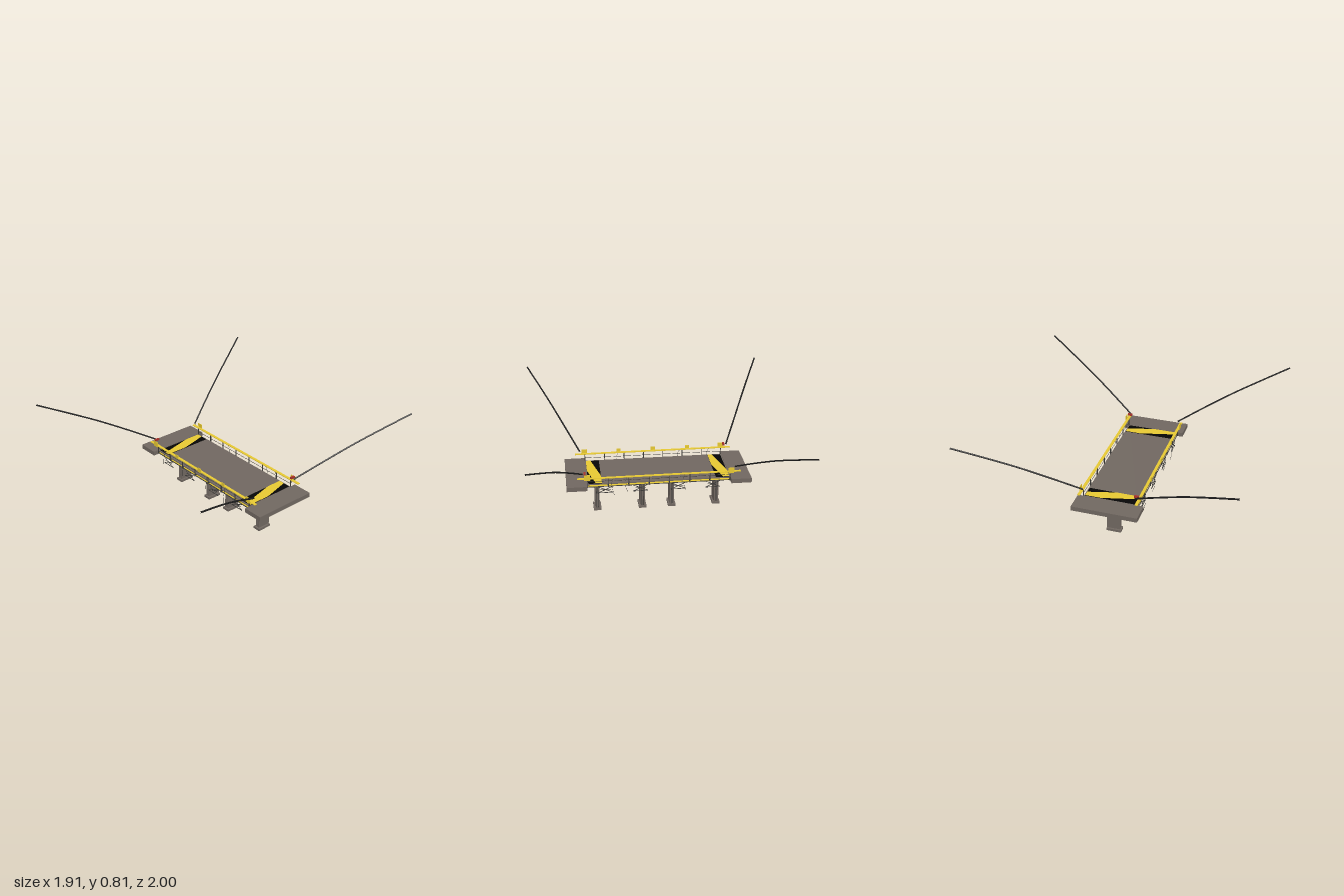
import * as THREE from 'three';

const mat = (name, color) => {
  const m = new THREE.MeshStandardMaterial({ color });
  m.name = name;
  return m;
};

export function createModel() {
  const model = new THREE.Group();
  model.name = 'footbridge';
  const concrete = mat('concrete', 0x706760);
  const steel = mat('dark steel', 0x3a3936);
  const yellow = mat('safety yellow', 0xe6c832);
  const black = mat('black', 0x060606);
  const rubber = mat('cable grey', 0x1e1e1e);
  const red = mat('red', 0xa8322a);

  const add = (name, geo, material, parent = model) => {
    const mesh = new THREE.Mesh(geo, material);
    mesh.name = name;
    parent.add(mesh);
    return mesh;
  };
  const box = (name, m, w, h, d, x, y, z, parent) => {
    const mesh = add(name, new THREE.BoxGeometry(w, h, d), m, parent);
    mesh.position.set(x, y, z);
    return mesh;
  };
  // Straight round bar between two points
  const bar = (name, m, a, b, r, parent) => {
    const p = new THREE.Vector3(...a), q = new THREE.Vector3(...b);
    const dir = q.clone().sub(p);
    const mesh = add(name, new THREE.CylinderGeometry(r, r, dir.length(), 6), m, parent);
    mesh.position.copy(p).add(q).multiplyScalar(0.5);
    mesh.quaternion.setFromUnitVectors(new THREE.Vector3(0, 1, 0), dir.normalize());
    return mesh;
  };
  const wire = (name, m, points, r) => {
    const curve = new THREE.CatmullRomCurve3(points.map(p => new THREE.Vector3(...p)));
    return add(name, new THREE.TubeGeometry(curve, 20, r, 6), m);
  };

  // Deck and end slabs
  box('deck', concrete, 1.08, 0.007, 0.405, 0, 0.2995, 0);
  for (const s of [-1, 1]) {
    box('endSlab', concrete, 0.153, 0.034, 0.492, s * 0.61, 0.288, 0);
    bar('edgePipe', steel, [-0.535, 0.281, s * 0.203], [0.535, 0.281, s * 0.203], 0.003);
  }

  // Flat beams and joists under the deck
  for (const z of [-0.184, -0.07, 0.07, 0.184])
    box('stringer', Math.abs(z) > 0.1 ? yellow : steel, 1.07, 0.005, 0.026, 0, 0.281, z);
  for (let i = 0; i < 8; i++)
    box('joist', steel, 0.008, 0.012, 0.4, -0.53 + i * 1.06 / 7, 0.29, 0);

  // Hazard panels at each end: a black plate under a diagonal yellow band
  for (const x of [-0.525, 0.425]) {
    const panel = new THREE.Group();
    panel.name = 'hazardPanel';
    panel.position.set(x, 0.303, 0);
    model.add(panel);
    box('hazardBase', black, 0.1, 0.002, 0.386, 0.05, 0.001, -0.002, panel);
    const band = new THREE.Shape([
      [0, 0.195], [0.045, 0.195], [0.1, -0.015], [0.1, -0.191], [0.065, -0.191], [0, 0.075],
    ].map(p => new THREE.Vector2(...p)));
    const mesh = add('hazardBand', new THREE.ShapeGeometry(band), yellow, panel);
    mesh.rotation.x = -Math.PI / 2;
    mesh.position.y = 0.004;
  }

  // Piers: two side plates, recessed web with a rib, and a foot
  for (const x of [-0.458, -0.115, 0.11, 0.455]) {
    const pier = new THREE.Group();
    pier.name = 'pier';
    pier.position.x = x;
    model.add(pier);
    for (const s of [-1, 1]) {
      box('pierPlate', concrete, 0.009, 0.275, 0.1, s * 0.0125, 0.1575, 0, pier);
      box('pierRib', concrete, 0.007, 0.275, 0.01, 0, 0.1575, s * 0.043, pier);
    }
    box('pierWeb', steel, 0.02, 0.275, 0.084, 0, 0.1575, 0, pier);
    box('pierFoot', concrete, 0.058, 0.018, 0.11, 0, 0.009, 0.005, pier);
  }

  // Railings, sign plates and side bracing
  for (const s of [-1, 1]) {
    const z = s * 0.205;
    const rail = new THREE.Group();
    rail.name = 'railing';
    model.add(rail);
    box('topRail', yellow, 1.212, 0.005, 0.021, 0, 0.356, s * 0.213, rail);
    bar('midRail', steel, [-0.535, 0.326, z], [0.535, 0.326, z], 0.0015, rail);
    for (let i = 0; i < 8; i++)
      box('railPost', steel, 0.005, 0.078, 0.007, -0.53 + i * 1.06 / 7, 0.315, z, rail);
    // End signs on both sides, smaller ones along the front only
    const signs = [[-0.533, 0.044], [0.533, 0.044]];
    if (s > 0) signs.push([-0.267, 0.03], [0, 0.036], [0.267, 0.03]);
    for (const [x, size] of signs)
      box('signPlate', yellow, size, size, 0.004, x, 0.367, s * 0.224, rail);

    for (const x of [-0.4, -0.14, 0.14, 0.4]) {
      const truss = new THREE.Group();
      truss.name = 'crossBrace';
      truss.position.x = x;
      model.add(truss);
      bar('braceDiagonal', steel, [-0.055, 0.23, z], [0.055, 0.28, z], 0.0025, truss);
      bar('braceDiagonal', steel, [-0.055, 0.28, z], [0.055, 0.23, z], 0.0025, truss);
      bar('braceChord', steel, [-0.055, 0.23, z], [0.055, 0.23, z], 0.0025, truss);
      bar('braceMidChord', steel, [-0.04, 0.256, z], [0.04, 0.256, z], 0.002, truss);
    }
  }

  // Stay cables rising outward from the four corners
  for (const sx of [-1, 1]) for (const sz of [-1, 1])
    wire('stayCable', rubber, [
      [sx * 0.568, 0.385, sz * 0.195], [sx * 0.668, 0.503, sz * 0.4],
      [sx * 0.763, 0.612, sz * 0.6], [sx * 0.857, 0.709, sz * 0.8], [sx * 0.951, 0.801, sz * 0.997],
    ], 0.006);

  // Red clamps on two opposite corners
  for (const s of [-1, 1])
    box('cableClamp', red, 0.015, 0.014, 0.034, s * 0.55, 0.391, s * -0.2);

  // Loose wires hanging from the railings and beneath the deck
  const hanging = [[-0.44, 1], [-0.21, 1], [0.07, 1], [0.27, 1], [-0.19, -1], [0.24, -1], [0.34, -1]];
  hanging.forEach(([x, s], i) => wire('hangingWire', steel, [
    [x, 0.354, s * 0.214], [x + 0.014, 0.32, s * 0.225],
    [x + 0.01, 0.27, s * 0.23], [x - 0.004, 0.21 + 0.012 * (i % 3), s * 0.22],
  ], 0.0012));
  [[-0.33, 0.03, 0.05], [0.2, -0.06, -0.06], [-0.2, -0.07, -0.05]].forEach(([x, z, reach]) => {
    wire('looseCable', rubber, [
      [x, 0.278, z], [x + 0.012, 0.245, z + reach * 0.25],
      [x + 0.02, 0.23, z + reach * 0.7], [x + 0.03, 0.278, z + reach],
    ], 0.002);
  });

  return model;
}
